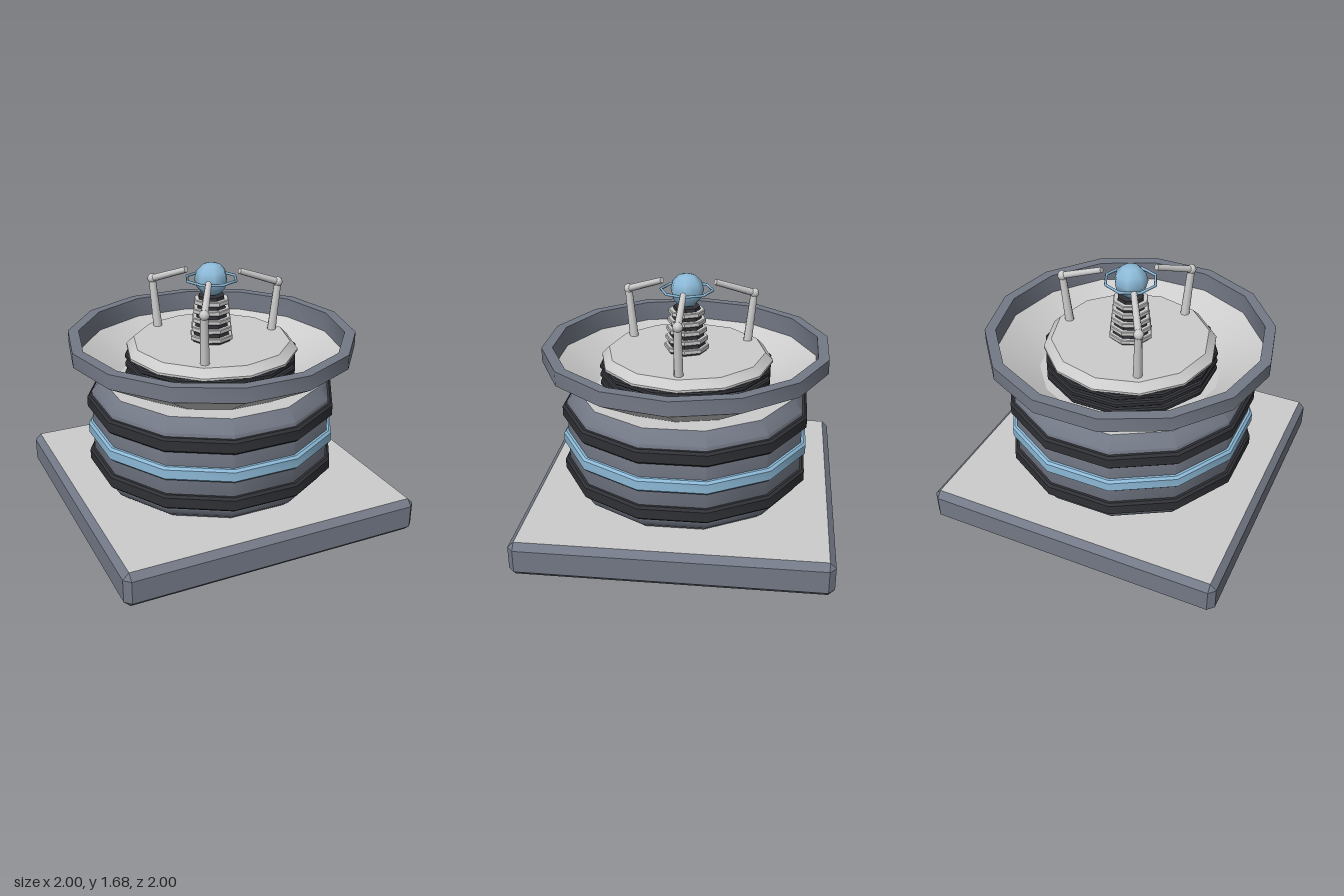
import * as THREE from 'three';
import { toCreasedNormals } from 'three/addons/utils/BufferGeometryUtils.js';
import { ConvexGeometry } from 'three/addons/geometries/ConvexGeometry.js';

const material = (name, color) => new THREE.MeshStandardMaterial({ name, color });

export function createModel() {
  const slate = material('slate', 0x737986);
  const grey = material('light grey', 0xcccccc);
  const black = material('black', 0x303136);
  const blue = material('blue', 0x8dbad8);
  const greyShell = grey; // same colour inside and outside the bowl
  greyShell.side = THREE.DoubleSide;

  const model = new THREE.Group();
  const add = (name, geometry, mat, parent = model) => {
    const mesh = new THREE.Mesh(geometry, mat);
    mesh.name = name;
    parent.add(mesh);
    return mesh;
  };
  // Faceted turned part; the profile runs from bottom to top as [radius, height]
  const turned = (name, profile, sides, turn, mat, crease = 0.6) => add(name, toCreasedNormals(
    new THREE.LatheGeometry(profile.map(([r, y]) => new THREE.Vector2(r, y)), sides, turn), crease), mat);
  // Closed disc with bevelled edges
  const disc = (name, r, y0, y1, bevel, sides, turn, mat) => turned(name, [
    [0, y0], [r - bevel, y0], [r, y0 + bevel], [r, y1 - bevel], [r - bevel, y1], [0, y1]], sides, turn, mat);

  // Chamfered square base with pale top and bottom
  const c = 0.04, h = 0.23, corners = [];
  for (const sx of [-1, 1]) for (const sz of [-1, 1]) for (const top of [0, 1]) {
    const edgeY = top ? h - c : c;
    corners.push(
      new THREE.Vector3(sx, edgeY, sz * (1 - c)),
      new THREE.Vector3(sx * (1 - c), edgeY, sz),
      new THREE.Vector3(sx * (1 - c), top * h, sz * (1 - c)));
  }
  const baseGeometry = new ConvexGeometry(corners);
  const normals = baseGeometry.attributes.normal;
  for (let i = 0; i < normals.count; i += 3) {
    baseGeometry.addGroup(i, 3, Math.abs(normals.getY(i)) > 0.95 ? 1 : 0);
  }
  add('base', baseGeometry, [slate, grey]);

  // Twelve-sided drum with rounded shoulders and a pale top
  const half = Math.PI / 12;
  turned('drum', [[0.71, h], [0.76, 0.27], [0.797, 0.33], [0.797, 0.85], [0.73, 0.927]], 12, half, slate, 0.8);
  turned('drumTop', [[0.73, 0.927], [0, 0.927]], 12, half, grey);

  // Three bands round the drum
  for (const [name, y0, y1, mat] of [
    ['lowerBand', 0.34, 0.435, black], ['middleBand', 0.54, 0.63, blue], ['upperBand', 0.73, 0.825, black]]) {
    turned(name, [[0.78, y0], [0.813, y0], [0.828, y0 + 0.015], [0.828, y1 - 0.015],
      [0.813, y1], [0.78, y1]], 12, half, mat);
  }

  // Fourteen-sided bowl: pale cone with a slate rim
  const bowlTurn = Math.PI / 2;
  turned('bowl', [[0.59, 0.92], [0.94, 1.12]], 14, bowlTurn, greyShell);
  turned('bowlRim', [[0.94, 1.12], [0.94, 1.215], [0.87, 1.215], [0.87, 1.081]], 14, bowlTurn, slate);

  // Ribbed column carrying the platform
  disc('columnCore', 0.54, 0.93, 1.11, 0, 12, half, slate);
  for (let i = 0; i < 3; i++) {
    disc('columnRib', 0.57, 0.945 + i * 0.058, 0.985 + i * 0.058, 0.01, 12, half, black);
  }
  turned('platform', [[0, 1.1], [0.565, 1.1], [0.565, 1.115], [0.515, 1.165], [0, 1.165]], 12, 0, grey);

  // Ribbed neck
  turned('neckCore', [[0.13, 1.165], [0.12, 1.22], [0.085, 1.465], [0, 1.465]], 8, 0, black);
  for (let i = 0; i < 5; i++) {
    const y = 1.177 + i * 0.059;
    disc('neckRib', 0.146 - i * 0.007, y, y + 0.032, 0.005, 8, 0, grey);
  }

  // Ball with a thin ring round it
  const ball = add('ball', new THREE.SphereGeometry(0.11, 7, 6), blue);
  ball.position.y = 1.57;
  ball.rotation.y = Math.PI;
  const ring = add('ballRing', new THREE.TorusGeometry(0.167, 0.009, 6, 8), blue);
  ring.position.y = 1.573;
  ring.rotation.x = Math.PI / 2;

  // Three jointed arms reaching in towards the ball
  const up = new THREE.Vector3(0, 1, 0);
  const rod = (name, from, to, r0, r1, parent) => {
    const a = new THREE.Vector3(...from), b = new THREE.Vector3(...to);
    const mesh = add(name, new THREE.CylinderGeometry(r1, r0, a.distanceTo(b), 8), grey, parent);
    mesh.position.copy(a).add(b).multiplyScalar(0.5);
    mesh.quaternion.setFromUnitVectors(up, b.sub(a).normalize());
  };
  for (let i = 0; i < 3; i++) {
    const arm = new THREE.Group();
    arm.name = 'arm';
    arm.rotation.y = i * Math.PI * 2 / 3;
    model.add(arm);
    rod('lowerArm', [0.445, 1.15, 0], [0.485, 1.49, 0], 0.03, 0.024, arm);
    rod('upperArm', [0.485, 1.49, 0], [0.2, 1.598, 0], 0.024, 0.02, arm);
    add('elbow', new THREE.SphereGeometry(0.033, 8, 6), grey, arm).position.set(0.485, 1.49, 0);
  }
  return model;
}
